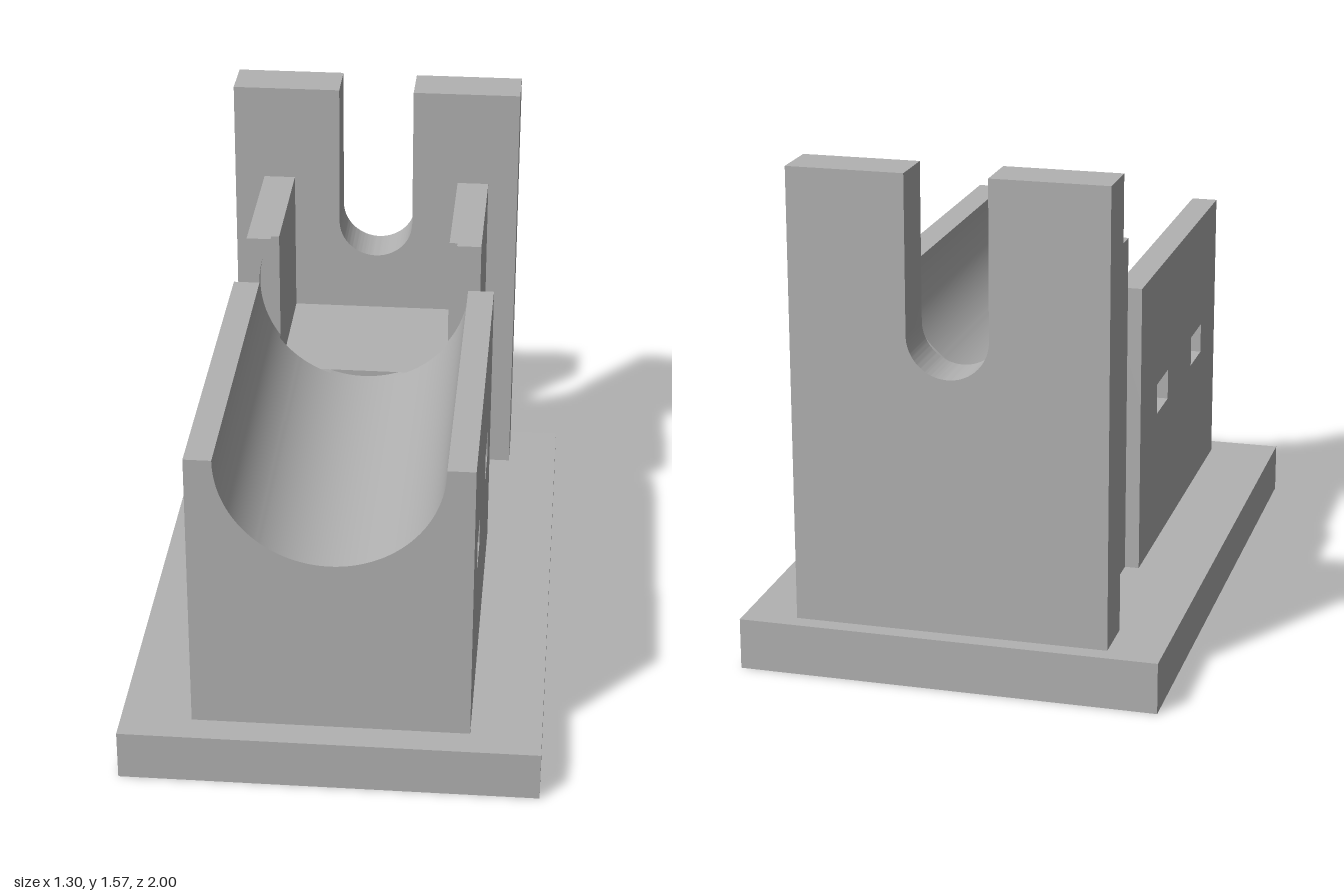
import * as THREE from 'three';
import { toCreasedNormals } from 'three/addons/utils/BufferGeometryUtils.js';

const BASE_TOP = 0.16;
const BORE_Y = 1.085, BORE_R = 0.345;
const CRADLE_BACK = -0.28, CRADLE_FRONT = 0.905;
const PLATE_FRONT = -0.785, PLATE_BACK = -0.945;

// Outline of a block (half width w, from y0 to y1); cut() traces the opening from right to left.
function notched(w, y0, y1, cut) {
  const s = new THREE.Shape();
  s.moveTo(-w, y0);
  s.lineTo(w, y0);
  s.lineTo(w, y1);
  cut(s);
  s.lineTo(-w, y1);
  s.closePath();
  return s;
}

function extrude(shape, depth) {
  const g = new THREE.ExtrudeGeometry(shape, { depth, bevelEnabled: false, curveSegments: 48 });
  return toCreasedNormals(g, 0.5);
}

export function createModel() {
  const model = new THREE.Group();
  model.name = 'cradleStand';
  const grey = new THREE.MeshStandardMaterial({ color: 0xb2b2b2 });
  grey.name = 'grey';

  const add = (name, geometry, parent = model) => {
    const mesh = new THREE.Mesh(geometry, grey);
    mesh.name = name;
    parent.add(mesh);
    return mesh;
  };
  const addProfile = (name, shape, zBack, zFront, parent) =>
    add(name, extrude(shape, zFront - zBack).translate(0, 0, zBack), parent);

  // Base slab
  add('base', new THREE.BoxGeometry(1.3, BASE_TOP, 2).translate(0, BASE_TOP / 2, 0));

  // Cradle: lower body pierced sideways by two strap holes
  const cradle = new THREE.Group();
  cradle.name = 'cradle';
  model.add(cradle);
  const split = 0.72, halfWidth = 0.43;
  const rect = (path, a0, a1, b0, b1) => {
    path.moveTo(a0, b0);
    path.lineTo(a1, b0);
    path.lineTo(a1, b1);
    path.lineTo(a0, b1);
    path.closePath();
    return path;
  };
  // Side outline is drawn in (-z, y), then turned to run along x
  const side = rect(new THREE.Shape(), -CRADLE_FRONT, -CRADLE_BACK, BASE_TOP, split);
  for (const z of [0.585, 0.045]) {
    side.holes.push(rect(new THREE.Path(), -z - 0.083, -z + 0.083, 0.6, 0.7));
  }
  add('cradleBody', extrude(side, halfWidth * 2).rotateY(Math.PI / 2).translate(-halfWidth, 0, 0), cradle);

  // Cradle: upper body with the half-round trough
  const trough = notched(halfWidth, split, BORE_Y, s => {
    s.lineTo(BORE_R, BORE_Y);
    s.absarc(0, BORE_Y, BORE_R, 0, Math.PI, true);
  });
  addProfile('cradleTrough', trough, CRADLE_BACK, CRADLE_FRONT, cradle);

  // Rear channel with a square slot
  const chW = 0.385, chTop = 1.245, slot = 0.28, floor = 0.76, lip = -0.302;
  const channel = notched(chW, BASE_TOP, chTop, s => {
    s.lineTo(slot, chTop);
    s.lineTo(slot, floor);
    s.lineTo(-slot, floor);
    s.lineTo(-slot, chTop);
  });
  addProfile('rearChannel', channel, PLATE_FRONT, lip);

  // Thin front slice of the channel, where the round bore runs slightly into it
  const topA = Math.asin((chTop - BORE_Y) / BORE_R);
  const wallA = -Math.acos(slot / BORE_R);
  const floorA = Math.asin((floor - BORE_Y) / BORE_R);
  const recess = notched(chW, BASE_TOP, chTop, s => {
    s.absarc(0, BORE_Y, BORE_R, topA, wallA, true);
    s.lineTo(slot, floor);
    s.absarc(0, BORE_Y, BORE_R, floorA, -Math.PI - floorA, true);
    s.lineTo(-slot, floor);
    s.absarc(0, BORE_Y, BORE_R, -Math.PI - wallA, -Math.PI - topA, true);
  });
  addProfile('channelRecess', recess, lip, CRADLE_BACK);

  // Tall back plate with a U-shaped slot
  const plateTop = 1.57, slotR = 0.126;
  const plate = notched(0.485, BASE_TOP, plateTop, s => {
    s.lineTo(slotR, plateTop);
    s.lineTo(slotR, BORE_Y);
    s.absarc(0, BORE_Y, slotR, 0, Math.PI, true);
    s.lineTo(-slotR, plateTop);
  });
  addProfile('backPlate', plate, PLATE_BACK, PLATE_FRONT);

  return model;
}
